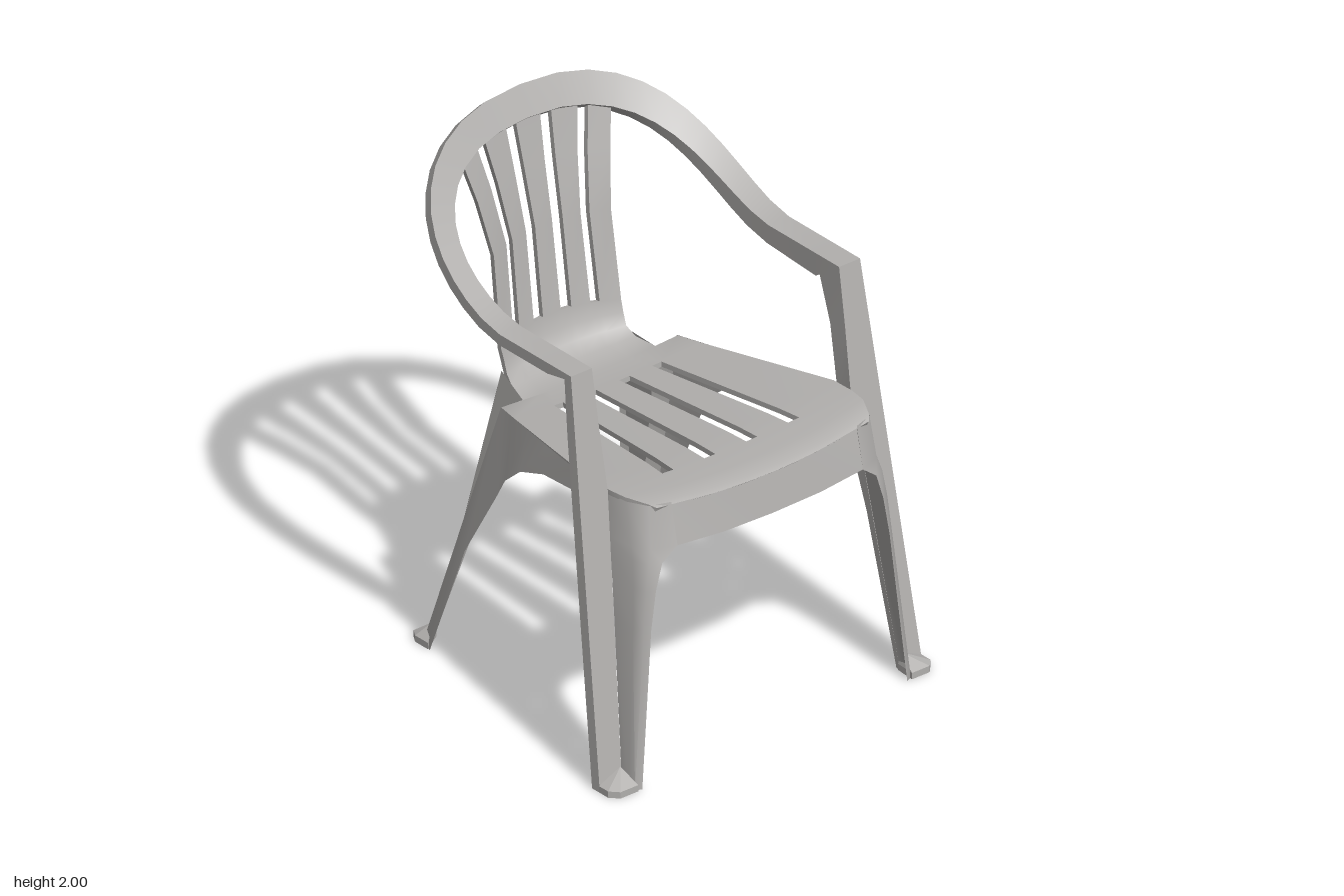
import * as THREE from 'three';
import { toCreasedNormals } from 'three/addons/utils/BufferGeometryUtils.js';
import { ConvexGeometry } from 'three/addons/geometries/ConvexGeometry.js';

const plastic = new THREE.MeshStandardMaterial({ color: 0xb2b0ae, side: THREE.DoubleSide });
plastic.name = 'greyPlastic';
const lerp = THREE.MathUtils.lerp;

function meshFromTriangles(name, pos, crease) {
  const g = new THREE.BufferGeometry();
  g.setAttribute('position', new THREE.Float32BufferAttribute(pos, 3));
  const m = new THREE.Mesh(toCreasedNormals(g, crease), plastic);
  m.name = name;
  return m;
}

const quad = (out, a, b, c, d) => out.push(...a, ...b, ...c, ...a, ...c, ...d);

// Skin stretched over rows of points
function loft(name, rows, crease = 0.6) {
  const pos = [];
  for (let i = 0; i < rows.length - 1; i++)
    for (let j = 0; j < rows[i].length - 1; j++)
      quad(pos, rows[i][j], rows[i][j + 1], rows[i + 1][j + 1], rows[i + 1][j]);
  return meshFromTriangles(name, pos, crease);
}

const flipRows = rows => rows.map(r => r.map(([x, y, z]) => [-x, y, z]));
const bothSides = half => [...flipRows(half.slice(1)).reverse(), ...half];

// Seat and backrest: one bent sheet with four columns of slots
function seatAndBack() {
  // y, z, half width, y bend, z bend, slot spread (0 wide to 1 narrow)
  const rows = [
    [1.03, 0.675, 0.48, 0.1, -0.13, 0],
    [1.04, 0.655, 0.50, 0.1, -0.13, 0],
    [1.045, 0.58, 0.54, 0.1, -0.13, 0],
    [1.045, 0.47, 0.55, 0.1, 0, 0],
    [1.043, 0.37, 0.55, 0.1, 0, 0.09],
    [1.005, -0.20, 0.422, 0.1, 0, 0.58],
    [1.0, -0.30, 0.40, 0.1, 0, 0.8],
    [1.0, -0.302, 0.30, 0.1, 0, 0.8],
    [1.012, -0.40, 0.28, 0.1, 0.2, 1],
    [1.045, -0.46, 0.27, 0.05, 0.5, 1],
    [1.095, -0.49, 0.27, 0, 0.7, 1],
    [1.16, -0.505, 0.272, -0.3, 0.7, 1],
    [1.5, -0.55, 0.265, -0.2, 0.7, 1.06],
    [1.72, -0.60, 0.30, -0.3, 0.6, 0.8],
    [1.885, -0.635, 0.335, -0.4, 0.45, 0.52],
  ];
  const wide = [0.31, 0.26, 0.12, 0.07], narrow = [0.195, 0.16, 0.085, 0.04];
  const t = 0.02, last = rows.length - 1, top = [], under = [];
  rows.forEach(([y, z, w, ky, kz, f], i) => {
    const p = rows[Math.max(i - 1, 0)], q = rows[Math.min(i + 1, last)];
    const dy = q[0] - p[0], dz = q[1] - p[1], len = Math.hypot(dy, dz);
    const xs = [w, ...wide.map((v, k) => lerp(v, narrow[k], f))];
    const all = [...xs.map(x => -x), ...xs.reverse()];
    top.push(all.map(x => [x, y + ky * x * x, z + kz * x * x]));
    under.push(top[i].map(([x, a, b]) => [x, a + t * dz / len, b - t * dy / len]));
  });
  const slotted = i => i === 3 || i === 4 || i >= 11;
  const solid = (i, j) => i >= 0 && j >= 0 && i < last && j < 9 && !(slotted(i) && j % 2 === 1);
  const pos = [];
  for (let i = 0; i < last; i++)
    for (let j = 0; j < 9; j++) {
      if (!solid(i, j)) continue;
      const c = [[i, j], [i, j + 1], [i + 1, j + 1], [i + 1, j]];
      const T = c.map(([a, b]) => top[a][b]), U = c.map(([a, b]) => under[a][b]);
      quad(pos, T[0], T[1], T[2], T[3]);
      quad(pos, U[3], U[2], U[1], U[0]);
      // Walls along free edges and slots
      [[i - 1, j], [i, j + 1], [i + 1, j], [i, j - 1]].forEach(([a, b], k) => {
        const n = (k + 1) % 4;
        if (!solid(a, b)) quad(pos, T[k], U[k], U[n], T[n]);
      });
    }
  return meshFromTriangles('seatAndBackrest', pos, 0.7);
}

// Hoop, armrests and outer strips of the front legs: one channel with lips
function frame() {
  const stations = [], n = 12;
  // Superellipse in front view, leaning back along a power curve
  const arc = (a, h, d, angle) => {
    const c = Math.max(Math.cos(angle), 0) ** (2 / 2.3);
    return [a * Math.sin(angle) ** (2 / 2.3), 1.53 + h * c, -d * c ** 0.62];
  };
  for (let i = 0; i <= n; i++) {
    const angle = Math.PI / 2 * (1 - (1 - i / n) ** 1.6);
    stations.push([arc(0.655, 0.47, 0.68, angle), arc(0.56, 0.36, 0.63, angle), lerp(0.025, 0.075, i / n)]);
  }
  stations.push([[0.655, 1.53, 0.26], [0.56, 1.53, 0.26], 0.09]);
  // Leg strip: height, inner edge x, inner lip depth
  for (const [y, x, lip] of [[1.53, 0.56, 0.13], [1.3, 0.557, 0.083], [1.07, 0.55, 0.075], [0.6, 0.585, 0.03], [0, 0.63, 0.02]]) {
    const k = 1 - y / 1.53, z = lerp(0.387, 0.635, k);
    stations.push([[lerp(0.655, 0.73, k), y, z], [x, y, z], lip]);
  }
  const half = stations.map(([outer, inner, lip], i) => {
    const p = stations[Math.max(i - 1, 0)][0], q = stations[Math.min(i + 1, stations.length - 1)][0];
    const dy = q[1] - p[1], dz = q[2] - p[2], len = Math.hypot(dy, dz);
    const drop = ([x, y, z], d) => [x, Math.max(y - d * dz / len, 0), z + d * dy / len];
    return [drop(outer, 0.043), outer, inner, drop(inner, lip)];
  });
  return loft('hoopArmsAndLegStrips', bothSides(half), 0.55);
}

// Front leg shell: height, then x,z from the outer strip round to the inner edge
const frontLeg = [
  [1.06, 0.55, 0.45, 0.54, 0.55, 0.50, 0.625, 0.42, 0.652],
  [0.90, 0.562, 0.488, 0.548, 0.585, 0.512, 0.65, 0.42, 0.685],
  [0.85, 0.566, 0.496, 0.553, 0.60, 0.528, 0.66, 0.485, 0.68],
  [0.75, 0.574, 0.515, 0.562, 0.615, 0.545, 0.666, 0.515, 0.682],
  [0.60, 0.585, 0.54, 0.576, 0.63, 0.562, 0.672, 0.54, 0.686],
  [0, 0.63, 0.635, 0.63, 0.67, 0.625, 0.70, 0.60, 0.71],
].map(([y, ...p]) => [0, 2, 4, 6].map(k => [p[k], y, p[k + 1]]));

// Front apron under the seat edge
const apronHalf = [
  [[0, 1.03, 0.675], [0, 0.885, 0.70]],
  [[0.22, 1.035, 0.669], [0.22, 0.888, 0.697]],
  [[0.42, 1.05, 0.652], [0.42, 0.90, 0.685]],
];

// Side apron running back into the outer face of the rear leg
const sidePanel = [
  [[0.55, 1.07, 0.45], [0.56, 1.02, 0.46]],
  [[0.523, 1.055, 0.25], [0.535, 0.975, 0.25]],
  [[0.478, 1.04, 0.05], [0.50, 0.937, 0.05]],
  [[0.445, 1.03, -0.10], [0.48, 0.875, -0.10]],
  [[0.418, 1.022, -0.22], [0.465, 0.79, -0.20]],
  [[0.40, 1.017, -0.30], [0.465, 0.70, -0.25]],
  [[0.453, 0.55, -0.432], [0.493, 0.44, -0.385]],
  [[0.515, 0, -0.585], [0.54, 0, -0.52]],
];

// Rear leg: inner web and sloping back face
const rearLeg = [
  [[0.265, 1.045, -0.46], [0.30, 1.008, -0.30], [0.40, 1.017, -0.30]],
  [[0.42, 0, -0.63], [0.46, 0, -0.59], [0.515, 0, -0.585]],
];

// Foot wedge: low plate rising to a peak in the leg's corner
function foot(name, outline, peak, s) {
  const pts = [new THREE.Vector3(s * peak[0], peak[1], peak[2])];
  for (const [x, z] of outline)
    for (const y of [0, 0.025]) pts.push(new THREE.Vector3(s * x, y, z));
  const m = new THREE.Mesh(new ConvexGeometry(pts), plastic);
  m.name = name;
  return m;
}
const frontFoot = [[0.625, 0.63], [0.73, 0.63], [0.73, 0.68], [0.70, 0.712], [0.62, 0.712]];
const rearFoot = [[0.46, -0.58], [0.43, -0.632], [0.52, -0.632], [0.54, -0.60], [0.54, -0.53]];

export function createModel() {
  const chair = new THREE.Group();
  chair.name = 'chair';
  chair.add(seatAndBack(), frame(), loft('frontApron', bothSides(apronHalf)));
  for (const [s, side] of [[1, 'left'], [-1, 'right']]) {
    const m = rows => (s > 0 ? rows : flipRows(rows));
    chair.add(
      loft(side + 'FrontLeg', m(frontLeg), 0.9),
      loft(side + 'SidePanel', m(sidePanel)),
      loft(side + 'RearLeg', m(rearLeg), 0.4),
      foot(side + 'FrontFoot', frontFoot, [0.635, 0.07, 0.632], s),
      foot(side + 'RearFoot', rearFoot, [0.485, 0.07, -0.572], s),
    );
  }
  return chair;
}
